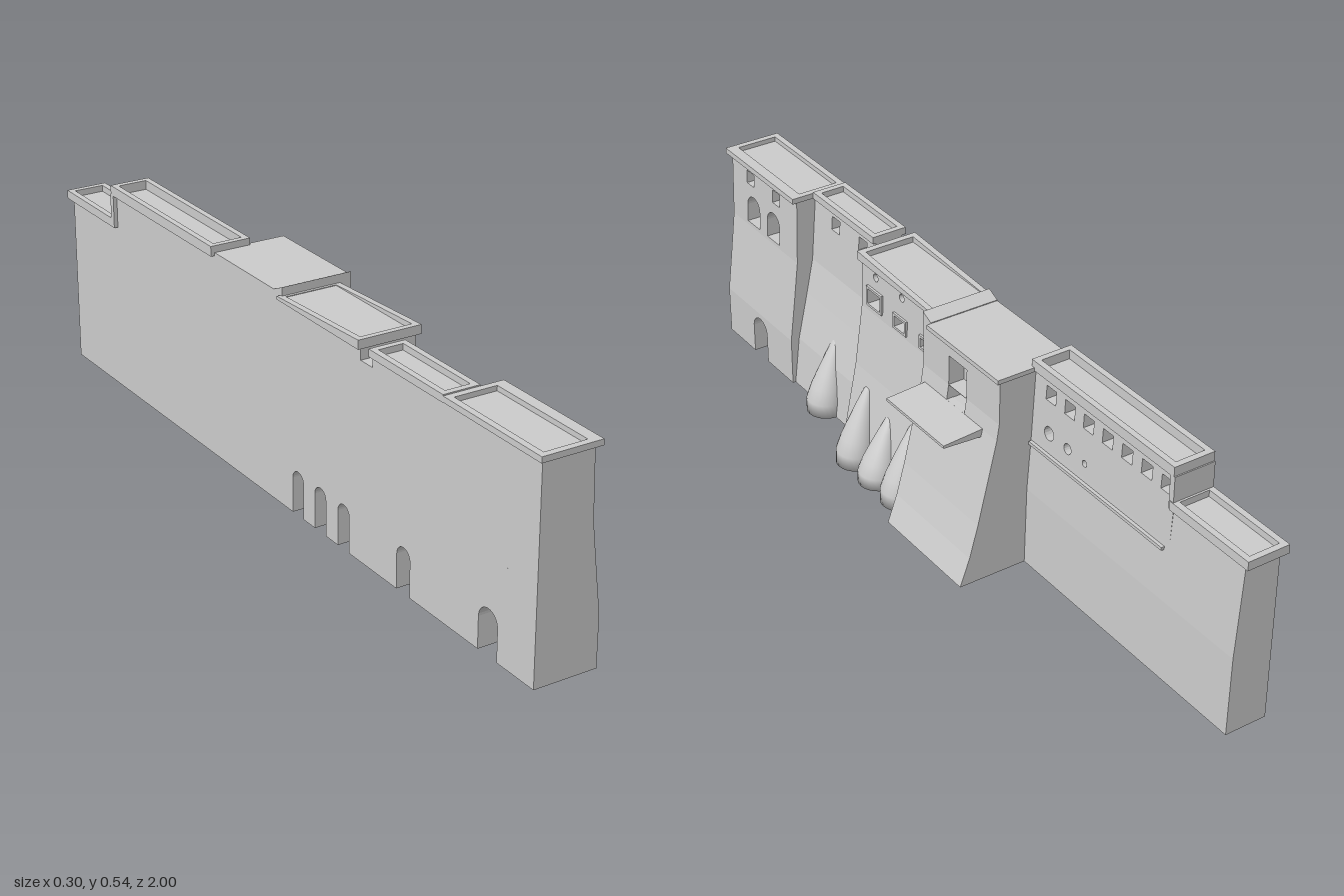
import * as THREE from 'three';

const BACK = -0.14;
const mat = new THREE.MeshStandardMaterial({ color: 0xcccccc, side: THREE.DoubleSide });

function add(group, name, geo) {
  const m = new THREE.Mesh(geo, mat);
  m.name = name;
  group.add(m);
  return m;
}

// box given by its limits
function block(group, name, x0, x1, y0, y1, z0, z1) {
  const g = new THREE.BoxGeometry(x1 - x0, y1 - y0, z1 - z0);
  g.translate((x0 + x1) / 2, (y0 + y1) / 2, (z0 + z1) / 2);
  return add(group, name, g);
}

// opening outline; shape X runs along -z
function opening({ z, y, w, h, kind }) {
  const p = new THREE.Path(), c = -z, r = w / 2;
  if (kind === 'round') {
    p.absarc(c, y + r, r, 0, Math.PI * 2);
    return p;
  }
  p.moveTo(c - r, y).lineTo(c + r, y);
  if (kind === 'arch') {
    p.lineTo(c + r, y + h - r);
    p.absarc(c, y + h - r, r, 0, Math.PI);
  } else {
    p.lineTo(c + r, y + h).lineTo(c - r, y + h);
  }
  p.closePath();
  return p;
}

// extrude an elevation shape along x, from xBack to the sloping face xFront(y)
function slab(group, name, shape, xBack, xFront) {
  const g = new THREE.ExtrudeGeometry(shape, { depth: 1, bevelEnabled: false, curveSegments: 8 });
  g.rotateY(Math.PI / 2);
  const p = g.attributes.position;
  for (let i = 0; i < p.count; i++) {
    const t = p.getX(i);
    p.setX(i, xBack + t * (xFront(p.getY(i)) - xBack));
  }
  g.computeVertexNormals();
  return add(group, name, g);
}

// elevation rectangle with arched passages cut into its foot
function elevation(zMax, zMin, y0, y1, doors) {
  const s = new THREE.Shape();
  s.moveTo(-zMax, y0);
  for (const { z, w, h } of doors) {
    const r = w / 2;
    s.lineTo(-z - r, y0).lineTo(-z - r, y0 + h - r);
    s.absarc(-z, y0 + h - r, r, Math.PI, 0, true);
    s.lineTo(-z + r, y0);
  }
  s.lineTo(-zMin, y0).lineTo(-zMin, y1).lineTo(-zMax, y1).closePath();
  return s;
}

// battered wall section in horizontal bands; profile is [y, front x] pairs
function wall(parent, name, zMax, zMin, profile, { windows = [], doors = [], depth = 0.04 } = {}) {
  const g = new THREE.Group();
  g.name = name;
  parent.add(g);
  for (let i = 0; i + 1 < profile.length; i++) {
    const [y0, a] = profile[i], [y1, b] = profile[i + 1];
    const front = y => a + (b - a) * (y - y0) / (y1 - y0);
    const holes = windows.filter(w => w.y >= y0 && w.y < y1);
    const cut = i === 0 ? doors : [];
    const shape = elevation(zMax, zMin, y0, y1, cut);
    if (holes.length) {
      const mid = Math.min(a, b) - depth;
      slab(g, 'wallCore', shape, BACK, () => mid);
      const face = elevation(zMax, zMin, y0, y1, cut);
      face.holes = holes.map(opening);
      slab(g, 'wallFace', face, mid, front);
    } else {
      slab(g, 'wallBand', shape, BACK, front);
    }
  }
  return g;
}

// parapet: rectangular frame around a sunken roof
function parapet(group, name, x0, x1, z0, z1, y0, y1, t = 0.015, tFront = t) {
  const rect = (P, a, b, c, d) => {
    const p = new P();
    p.moveTo(a, -c).lineTo(b, -c).lineTo(b, -d).lineTo(a, -d).closePath();
    return p;
  };
  const s = rect(THREE.Shape, x0, x1, z0, z1);
  s.holes.push(rect(THREE.Path, x0 + t, x1 - tFront, z0 + t, z1 - t));
  const g = new THREE.ExtrudeGeometry(s, { depth: y1 - y0, bevelEnabled: false });
  g.rotateX(-Math.PI / 2).translate(0, y0, 0);
  return add(group, name, g);
}

// tapered buttress leaning back against the wall
function buttress(group, x, z, height) {
  const k = height / 0.195;
  const pts = [[0, 0], [0.05, 0], [0.05, 0.035], [0.044, 0.07], [0.034, 0.11], [0.023, 0.152], [0.012, 0.19], [0.008, 0.195], [0, 0.195]];
  const g = new THREE.LatheGeometry(pts.map(([r, y]) => new THREE.Vector2(r, y * k)), 24);
  const p = g.attributes.position;
  for (let i = 0; i < p.count; i++) {
    const t = Math.max(0, p.getY(i) / k - 0.03) / 0.165;
    p.setX(i, p.getX(i) - 0.04 * Math.pow(t, 1.1));
  }
  g.translate(x, 0, z);
  g.computeVertexNormals();
  add(group, 'buttress', g);
}

const square = (z, y = 0.457, w = 0.035) => ({ z, y, w, h: w });

export function createModel() {
  const root = new THREE.Group();
  root.name = 'fortressWall';

  // end tower with gate
  const tower = wall(root, 'endTower', 0.99, 0.675,
    [[0, 0.018], [0.125, 0.018], [0.23, 0.005], [0.34, -0.008], [0.51, -0.013]], {
      doors: [{ z: 0.832, w: 0.066, h: 0.11 }],
      windows: [square(0.9), square(0.775),
        { z: 0.887, y: 0.35, w: 0.06, h: 0.077, kind: 'arch' }, { z: 0.79, y: 0.35, w: 0.06, h: 0.077, kind: 'arch' }],
    });
  parapet(tower, 'parapet', -0.15, 0, 0.672, 1, 0.508, 0.522, 0.016, 0.028);

  // recessed curtain wall with a notch in its top
  const curtain = [[0, 0.01], [0.125, -0.005], [0.25, -0.033], [0.34, -0.052]];
  const recess = wall(root, 'recessedWall', 0.675, 0.4, [...curtain, [0.51, -0.066]], {
    doors: [{ z: 0.525, w: 0.05, h: 0.11 }],
    windows: [square(0.577), square(0.455)],
  });
  parapet(recess, 'parapet', -0.15, -0.058, 0.4, 0.672, 0.507, 0.525);
  wall(root, 'wallNotch', 0.4, 0.355, [...curtain, [0.48, -0.065]]);
  buttress(root, 0.007, 0.529, 0.195);

  // middle tower with framed windows
  const panes = [[0.296, 0.4, 0.064, 0.052], [0.187, 0.395, 0.055, 0.04], [0.082, 0.395, 0.045, 0.036]];
  const middle = wall(root, 'middleTower', 0.355, 0.035,
    [[0, 0.07], [0.125, 0.046], [0.23, 0.025], [0.385, 0.004], [0.515, 0]], {
      doors: [0.29, 0.194, 0.1].map(z => ({ z, w: 0.046, h: 0.11 })),
      windows: [...panes.map(([z, y, w, h]) => ({ z, y, w, h })),
        ...[0.296, 0.185, 0.085].map(z => ({ z, y: 0.475, w: 0.02, kind: 'round' }))],
    });
  for (const [z, y, w, h] of panes) {
    const f = new THREE.Shape(opening({ z, y, w, h }).getPoints());
    f.holes.push(opening({ z, y: y + 0.006, w: w - 0.012, h: h - 0.012 }));
    slab(middle, 'windowFrame', f, -0.03, () => 0.008);
  }
  const rim = parapet(middle, 'parapet', -0.15, 0.011, 0.03, 0.36, 0.508, 0.523);
  const rp = rim.geometry.attributes.position;
  for (let i = 0; i < rp.count; i++) {
    if (rp.getY(i) > 0.51) rp.setY(i, 0.516 + 0.014 * (rp.getZ(i) - 0.03) / 0.33);
  }
  rim.geometry.computeVertexNormals();
  [[0.293, 0.195], [0.194, 0.168], [0.095, 0.195]].forEach(([z, h]) => buttress(root, 0.067, z, h));

  // projecting bastion with balcony
  const bastion = wall(root, 'bastion', 0.035, -0.265,
    [[0, 0.142], [0.07, 0.117], [0.152, 0.095], [0.26, 0.07], [0.36, 0.047], [0.4, 0.041], [0.512, 0.04]],
    { windows: [{ z: -0.103, y: 0.362, w: 0.07, h: 0.037 }, { z: -0.103, y: 0.4, w: 0.07, h: 0.075 }] });
  block(bastion, 'roofSlab', BACK, 0.051, 0.51, 0.521, -0.272, 0.005);
  const curb = block(bastion, 'roofCurb', BACK, 0.04, 0.505, 0.537, 0.005, 0.037);
  const cp = curb.geometry.attributes.position;
  for (let i = 0; i < cp.count; i++) {
    if (cp.getY(i) > 0.52 && cp.getZ(i) < 0.02) cp.setY(i, 0.523);
  }
  curb.geometry.computeVertexNormals();
  const deck = new THREE.Shape();
  deck.moveTo(0.03, 0.341).lineTo(0.15, 0.348).lineTo(0.15, 0.355).lineTo(0.03, 0.363).closePath();
  const deckGeo = new THREE.ExtrudeGeometry(deck, { depth: 0.23, bevelEnabled: false });
  add(bastion, 'balcony', deckGeo.translate(0, 0, -0.21));

  // long wall with a row of windows and a ledge
  const slope = [[0, -0.034], [0.2, -0.037], [0.34, -0.046]];
  const long = wall(root, 'longWall', -0.265, -0.755, [...slope, [0.515, -0.055]], {
    windows: [...[0.325, 0.393, 0.46, 0.527, 0.594, 0.661, 0.727].map(z => square(-z)),
      { z: -0.327, y: 0.362, w: 0.034, kind: 'round' }, { z: -0.395, y: 0.364, w: 0.026, kind: 'round' },
      { z: -0.457, y: 0.366, w: 0.016, kind: 'round' }],
  });
  block(long, 'ledge', -0.06, -0.037, 0.322, 0.33, -0.74, -0.268);
  parapet(long, 'parapet', -0.15, -0.045, -0.757, -0.262, 0.513, 0.538);
  block(long, 'stepFascia', -0.15, -0.045, 0.43, 0.515, -0.76, -0.745);

  // low end wall
  const low = wall(root, 'lowWall', -0.755, -0.985, [...slope, [0.436, -0.052]]);
  parapet(low, 'parapet', -0.15, -0.043, -1, -0.75, 0.43, 0.452);
  return root;
}
